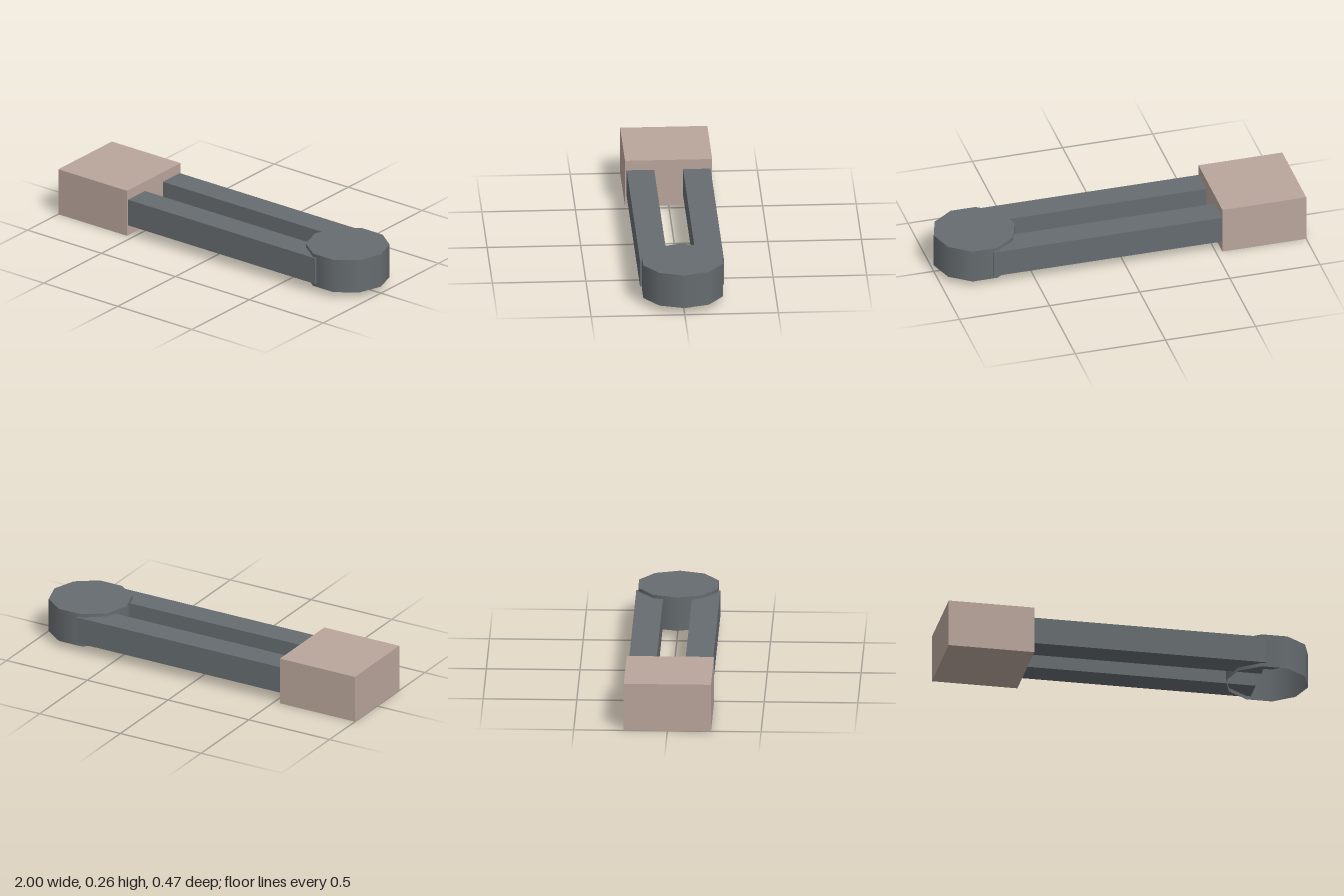
import * as THREE from 'three';

export function createModel() {
  const model = new THREE.Group();
  const tan = new THREE.MeshStandardMaterial({ color: 0xb9a59b });
  tan.name = 'dusty tan';
  const grey = new THREE.MeshStandardMaterial({ color: 0x666c70, side: THREE.DoubleSide });
  grey.name = 'slate grey';

  const add = (name, geometry, material, x, y, z, parent = model) => {
    const mesh = new THREE.Mesh(geometry, material);
    mesh.name = name;
    mesh.position.set(x, y, z);
    parent.add(mesh);
    return mesh;
  };

  // Square end block
  add('endBlock', new THREE.BoxGeometry(0.465, 0.262, 0.466), tan, -0.7675, 0.131, 0);

  // Two parallel rails running from the block into the cap
  for (const side of [-1, 1]) {
    add(side > 0 ? 'frontRail' : 'backRail',
      new THREE.BoxGeometry(1.265, 0.149, 0.147), grey, 0.0975, 0.1325, side * 0.1505);
  }

  // Hollow ten-sided cap, open underneath
  const cap = new THREE.Group();
  cap.name = 'roundCap';
  cap.position.set(0.776, 0.132, 0);
  model.add(cap);
  const radius = 0.224, height = 0.188;
  add('capWall', new THREE.CylinderGeometry(radius, radius, height, 10, 1, true, Math.PI / 2), grey, 0, 0, 0, cap);
  add('capTop', new THREE.CircleGeometry(radius, 10).rotateX(-Math.PI / 2), grey, 0, height / 2, 0, cap);

  return model;
}
